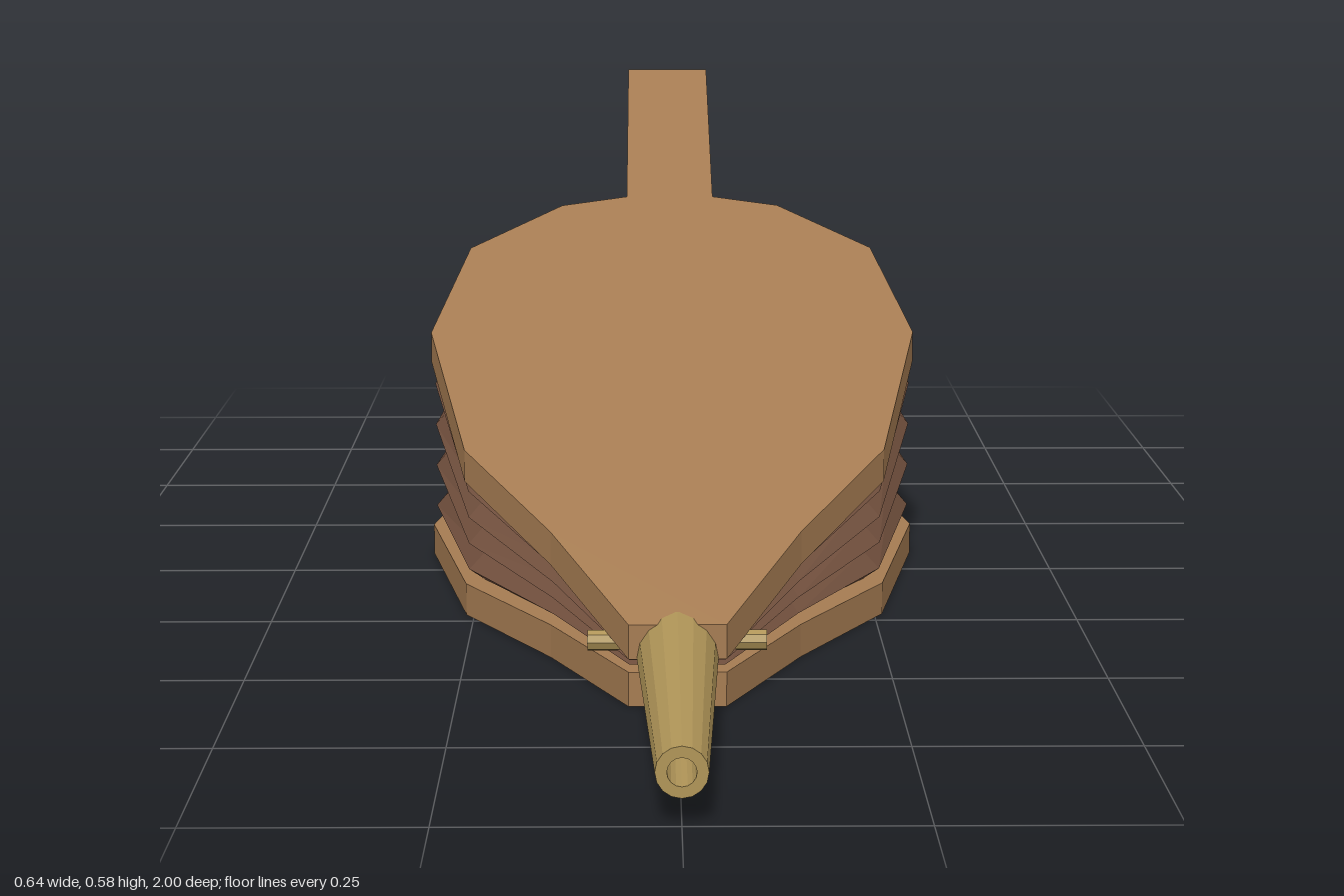
import * as THREE from 'three';

const wood = new THREE.MeshStandardMaterial({ color: 0xa67c52, flatShading: true });
wood.name = 'wood';
const leather = new THREE.MeshStandardMaterial({ color: 0x6f4e3c, flatShading: true, side: THREE.DoubleSide });
leather.name = 'leather';
const brass = new THREE.MeshStandardMaterial({ color: 0xb09558, flatShading: true, side: THREE.DoubleSide });
brass.name = 'brass';

const THICK = 0.04, FRONT = 0.605, SLOPE = 0.3, GAP = 0.015;

// Left half of the paddle outline as [x, z], nose to handle root
const half = [[0.055, FRONT], [0.148, 0.41], [0.26, 0.22], [0.322, -0.09], [0.283, -0.345], [0.157, -0.485], [0.063, -0.515]];
const mirrored = (pts) => [...pts, ...pts.map(([x, z]) => [-x, z]).reverse()];

// Height of the underside of the tilted top board
const topUnderside = (z) => THICK + GAP + (FRONT - z) * SLOPE;

function named(name, geometry, material) {
  const mesh = new THREE.Mesh(geometry, material);
  mesh.name = name;
  return mesh;
}

// Flat paddle with handle, lying on y = 0
function boardGeometry() {
  const outline = mirrored([...half, [0.063, -1]]);
  const shape = new THREE.Shape(outline.map(([x, z]) => new THREE.Vector2(x, -z)));
  const geometry = new THREE.ExtrudeGeometry(shape, { depth: THICK, bevelEnabled: false });
  return geometry.rotateX(-Math.PI / 2);
}

// Pleated leather: closed rings alternating between valley and ridge, fanned open to the rear
function bellowsGeometry(pleats) {
  const ring = mirrored(half), n = ring.length, positions = [], index = [];
  for (let i = 0; i <= pleats * 2; i++) {
    const [sx, sz] = i % 2 ? [0.985, 0.965] : [0.915, 0.9];
    for (const [x, z] of ring) {
      const pz = z * sz;
      positions.push(x * sx, THREE.MathUtils.lerp(THICK, topUnderside(pz), i / (pleats * 2)), pz);
    }
  }
  for (let i = 0; i < pleats * 2; i++) {
    for (let j = 0; j < n; j++) {
      const a = i * n + j, b = i * n + (j + 1) % n;
      index.push(a, b, b + n, a, b + n, a + n);
    }
  }
  const geometry = new THREE.BufferGeometry();
  geometry.setAttribute('position', new THREE.Float32BufferAttribute(positions, 3));
  geometry.setIndex(index);
  const flat = geometry.toNonIndexed();
  flat.computeVertexNormals();
  return flat;
}

export function createModel() {
  const model = new THREE.Group();
  model.name = 'bellows';

  model.add(named('bottomBoard', boardGeometry(), wood));

  // Top board is the same paddle, sheared upwards to the rear
  const top = boardGeometry();
  const p = top.attributes.position;
  for (let i = 0; i < p.count; i++) p.setY(i, p.getY(i) + topUnderside(p.getZ(i)));
  top.computeVertexNormals();
  model.add(named('topBoard', top, wood));

  model.add(named('leatherPleats', bellowsGeometry(4), leather));

  // Hollow tapered nozzle pointing forward
  const profile = [[0.015, 0.58], [0.047, 0.58], [0.027, 1], [0.015, 1], [0.015, 0.58]];
  const nozzle = new THREE.LatheGeometry(profile.map(([r, z]) => new THREE.Vector2(r, z)), 16);
  nozzle.rotateX(Math.PI / 2).translate(0, 0.056, 0);
  model.add(named('nozzle', nozzle, brass));

  // Hinge pin across the nose
  const pin = new THREE.CylinderGeometry(0.012, 0.012, 0.204, 8);
  pin.rotateZ(Math.PI / 2).translate(0, 0.061, 0.548);
  model.add(named('hingePin', pin, brass));

  return model;
}
